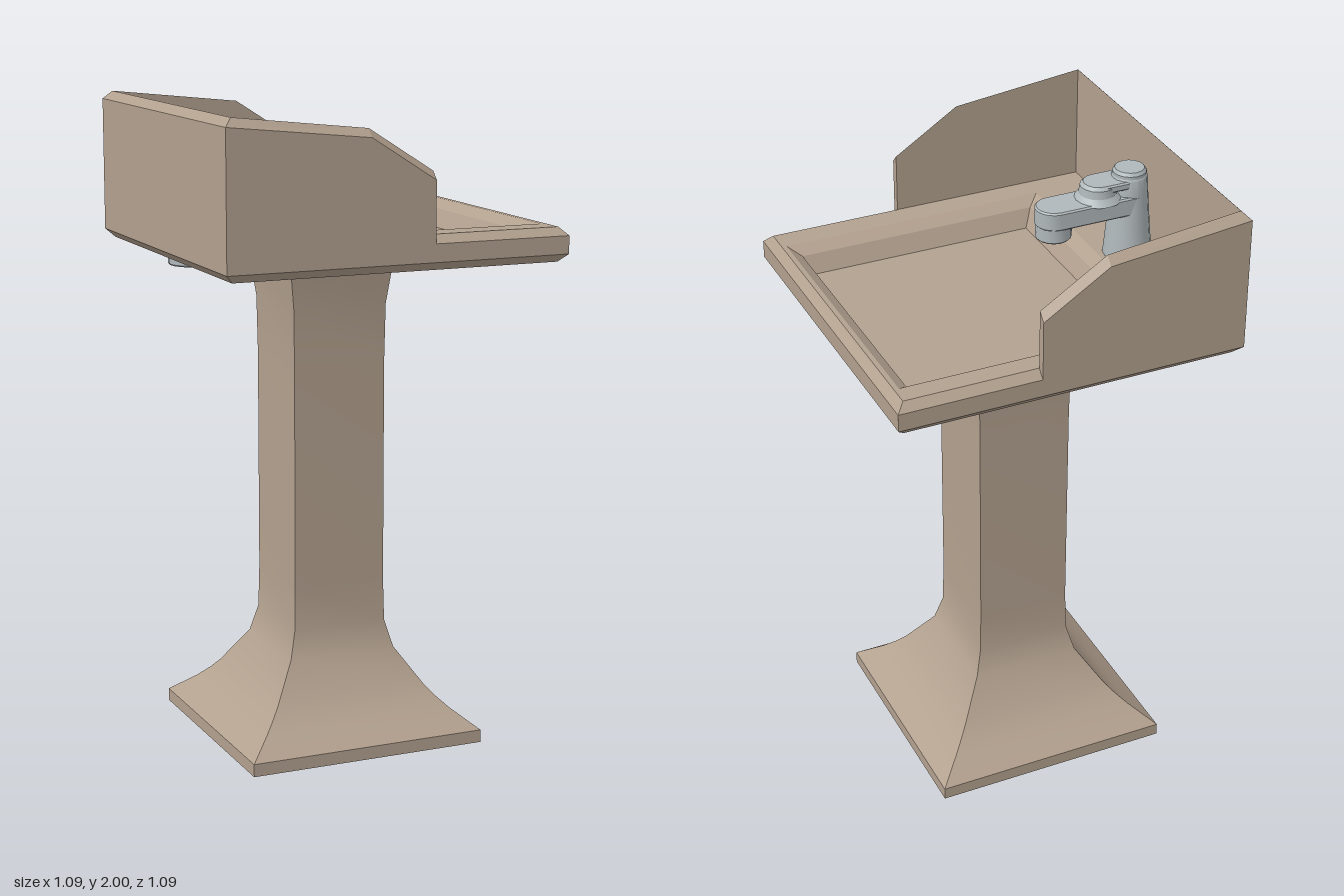
import * as THREE from 'three';
import { toCreasedNormals } from 'three/addons/utils/BufferGeometryUtils.js';

const stone = new THREE.MeshStandardMaterial({ color: 0xb3a18f });
stone.name = 'warm beige ceramic';
const metal = new THREE.MeshStandardMaterial({ color: 0xb0b8bb });
metal.name = 'brushed grey metal';

function add(parent, name, geometry, material, x = 0, y = 0, z = 0) {
  const mesh = new THREE.Mesh(geometry, material);
  mesh.name = name;
  mesh.position.set(x, y, z);
  parent.add(mesh);
  return mesh;
}

// Flat-faced surface made from rows of corner points, bottom row first
function facets(rows, closed, caps = []) {
  const pos = [];
  const quad = (a, b, c, d) => pos.push(...a, ...b, ...c, ...a, ...c, ...d);
  for (let r = 0; r < rows.length - 1; r++) {
    const n = rows[r].length;
    for (let i = 0; i < (closed ? n : n - 1); i++) {
      const j = (i + 1) % n;
      quad(rows[r][i], rows[r][j], rows[r + 1][j], rows[r + 1][i]);
    }
  }
  caps.forEach((c) => quad(...c));
  const g = new THREE.BufferGeometry();
  g.setAttribute('position', new THREE.Float32BufferAttribute(pos, 3));
  g.computeVertexNormals();
  return g;
}

// Chamfered slab whose top sinks into a two-step rectangular basin
function basinGeometry() {
  const ring = (x0, x1, z0, z1, y) => [[x0, y, z1], [x1, y, z1], [x1, y, z0], [x0, y, z0]];
  const rows = [
    ring(-0.52, 0.52, -0.52, 0.52, 1.535),
    ring(-0.545, 0.545, -0.545, 0.545, 1.56),
    ring(-0.545, 0.545, -0.545, 0.545, 1.615),
    ring(-0.52, 0.52, -0.52, 0.52, 1.64),
    ring(-0.34, 0.505, -0.455, 0.44, 1.64),
    ring(-0.302, 0.468, -0.418, 0.404, 1.615),
    ring(-0.275, 0.442, -0.39, 0.376, 1.56),
  ];
  return facets(rows, true, [[...rows[0]].reverse(), rows[6]]);
}

// Thin back wall with two sloping wings and a chamfered top edge
function splashGeometry() {
  const o = 0.545, n = 0.52;
  // outer x, inner x, outer top, inner top
  const wing = [[0.105, 0.105, 1.80, 1.825], [-0.1, -0.1, 1.93, 1.955], [-o, -n, 1.975, 2.0]];
  const stations = [
    ...wing.map((s) => [...s, -1]),
    ...[...wing].reverse().map((s) => [...s, 1]),
  ];
  const rows = [
    stations.map(([x, , , , s]) => [x, 1.615, s * o]),
    stations.map(([x, , y, , s]) => [x, y, s * o]),
    stations.map(([, x, , y, s]) => [x, y, s * n]),
    stations.map(([, x, , , s]) => [x, 1.64, s * n]),
  ];
  const start = rows.map((r) => r[0]);
  const end = rows.map((r) => r[5]).reverse();
  return facets(rows, false, [start, end]);
}

// Four-sided column from a half-width profile
function pedestalGeometry() {
  const profile = [[0, 0], [0.383, 0], [0.383, 0.04], [0.31, 0.1], [0.275, 0.135], [0.25, 0.165],
    [0.175, 0.28], [0.153, 0.365], [0.15, 0.5], [0.15, 1.2], [0.153, 1.38], [0.174, 1.54]]
    .map(([w, y]) => new THREE.Vector2(w * Math.SQRT2, y));
  const g = new THREE.LatheGeometry(profile, 4);
  g.rotateY(Math.PI / 4);
  return toCreasedNormals(g, 0.7);
}

// Turned part from [radius, y] pairs
function turned(points, sides = 16) {
  const g = new THREE.LatheGeometry(points.map(([r, y]) => new THREE.Vector2(r, y)), sides);
  return toCreasedNormals(g, 0.5);
}

// Flat bar along +x with a rounded far end and small bevels
function bar(length, halfWidth, height) {
  const b = 0.005, w = halfWidth - b;
  const s = new THREE.Shape();
  s.moveTo(0, -w);
  s.lineTo(length, -w);
  s.absarc(length, 0, w, -Math.PI / 2, Math.PI / 2, false);
  s.lineTo(0, w);
  s.closePath();
  const g = new THREE.ExtrudeGeometry(s, {
    depth: height - 2 * b, bevelThickness: b, bevelSize: b, bevelSegments: 1, curveSegments: 5,
  });
  g.rotateX(-Math.PI / 2);
  g.translate(0, b, 0);
  return toCreasedNormals(g, 0.5);
}

export function createModel() {
  const model = new THREE.Group();
  model.name = 'pedestalSink';

  add(model, 'pedestal', pedestalGeometry(), stone, -0.028, 0, 0.003);
  add(model, 'basin', basinGeometry(), stone);
  add(model, 'splashGuard', splashGeometry(), stone);

  // Tap standing on the back ledge, spout pointing over the basin
  const tap = new THREE.Group();
  tap.name = 'tap';
  tap.position.set(-0.43, 0, -0.015);
  model.add(tap);
  add(tap, 'tapColumn', turned([[0.075, 1.64], [0.066, 1.745], [0.058, 1.85], [0.055, 1.9],
    [0.052, 1.905], [0.052, 1.915], [0.045, 1.925], [0, 1.925]]), metal);
  add(tap, 'spout', bar(0.25, 0.058, 0.06), metal, 0, 1.79, 0);
  add(tap, 'spoutTip', turned([[0, 1.745], [0.05, 1.745], [0.055, 1.75], [0.055, 1.8]]), metal, 0.25, 0, 0);
  add(tap, 'lever', bar(0.1, 0.05, 0.025), metal, 0, 1.875, 0);
  add(tap, 'leverKnob', turned([[0.075, 1.845], [0.058, 1.865], [0.055, 1.89], [0.045, 1.9], [0, 1.9]]),
    metal, 0.105, 0, 0);

  // Fixing nut under the slab
  add(model, 'tapNut', turned([[0, 1.512], [0.08, 1.512], [0.083, 1.516], [0.083, 1.54]], 20),
    metal, -0.432, 0, -0.015);

  return model;
}
